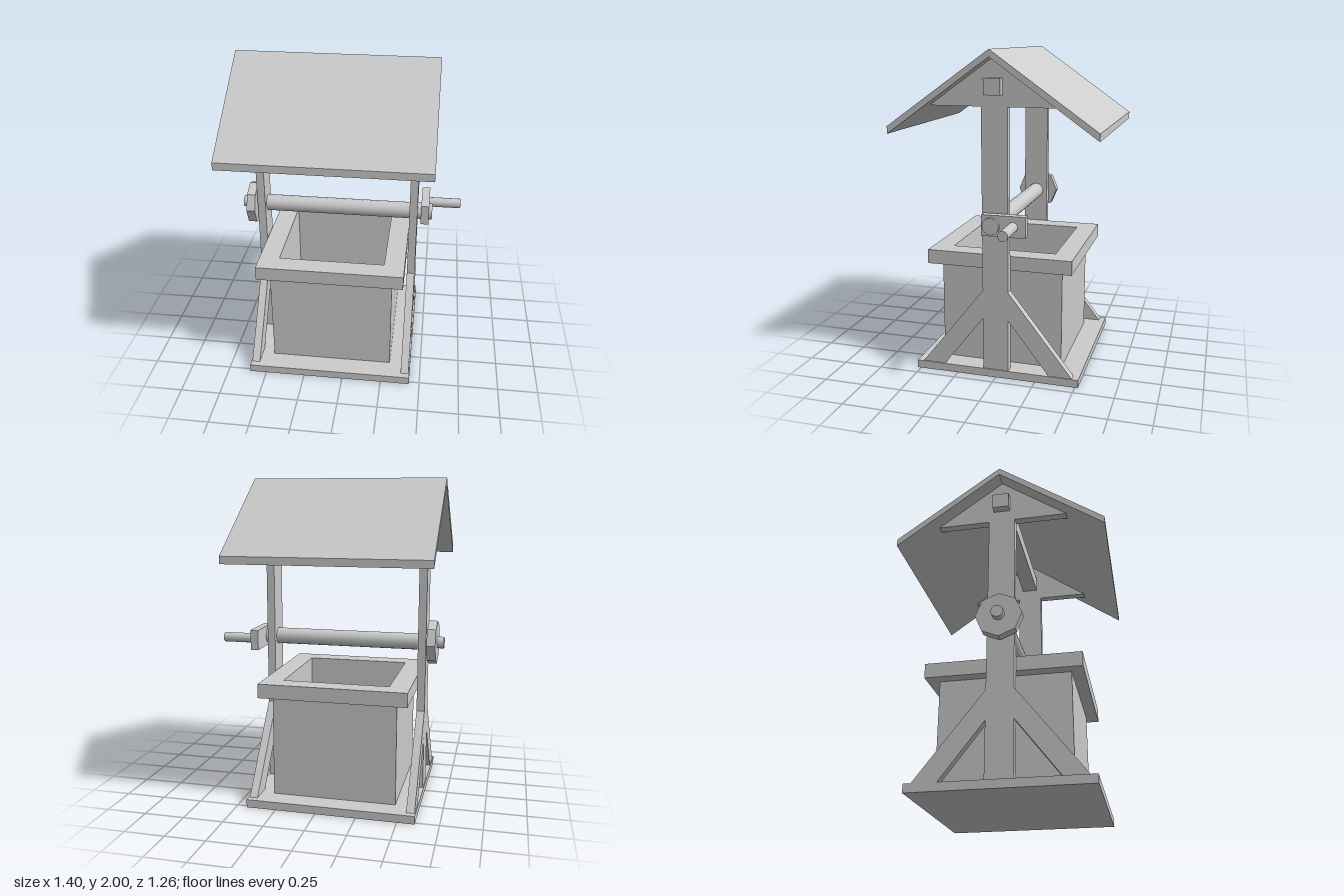
import * as THREE from 'three';

const material = new THREE.MeshStandardMaterial({ color: 0xcccccc });
const CX = -0.086; // middle of the well along x
const AXLE_Y = 0.99;

function add(parent, name, geometry, x = 0, y = 0, z = 0) {
  const mesh = new THREE.Mesh(geometry, material);
  mesh.name = name;
  mesh.position.set(x, y, z);
  parent.add(mesh);
  return mesh;
}

// Box given by its limits on each axis
function box(parent, name, [x0, x1], [y0, y1], [z0, z1]) {
  return add(parent, name, new THREE.BoxGeometry(x1 - x0, y1 - y0, z1 - z0),
    (x0 + x1) / 2, (y0 + y1) / 2, (z0 + z1) / 2);
}

// Cylinder lying along x
function rod(parent, name, x0, x1, radius, z = 0, sides = 12) {
  const geometry = new THREE.CylinderGeometry(radius, radius, x1 - x0, sides);
  geometry.rotateZ(Math.PI / 2);
  return add(parent, name, geometry, (x0 + x1) / 2, AXLE_Y, z);
}

// Half profile of [z, y] points, mirrored across z = 0 and extruded from x0 to x1
function mirroredProfile(parent, name, half, x0, x1) {
  const mirrored = half.filter(([z]) => z > 0).reverse().map(([z, y]) => [-z, y]);
  const shape = new THREE.Shape([...half, ...mirrored].map(([z, y]) => new THREE.Vector2(-z, y)));
  const geometry = new THREE.ExtrudeGeometry(shape, { depth: x1 - x0, bevelEnabled: false });
  geometry.rotateY(Math.PI / 2);
  return add(parent, name, geometry, x0, 0, 0);
}

// Upright square tube with an open middle
function squareTube(parent, name, outer, inner, y0, y1) {
  const square = (h, Type) => new Type([[-h, -h], [h, -h], [h, h], [-h, h]]
    .map(([x, y]) => new THREE.Vector2(x, y)));
  const shape = square(outer, THREE.Shape);
  shape.holes.push(square(inner, THREE.Path));
  const geometry = new THREE.ExtrudeGeometry(shape, { depth: y1 - y0, bevelEnabled: false });
  geometry.rotateX(-Math.PI / 2);
  return add(parent, name, geometry, CX, y0, 0);
}

export function createModel() {
  const model = new THREE.Group();
  model.name = 'well';

  // Base and square shaft
  box(model, 'base', [-0.606, 0.434], [0, 0.05], [-0.52, 0.52]);
  squareTube(model, 'shaftWalls', 0.385, 0.33, 0.05, 0.685);
  squareTube(model, 'rim', 0.457, 0.33, 0.685, 0.773);

  // Side frames: post, two braces and gable in one outline
  const frame = [
    [0.08, 0.05], [0.08, 0.38], [0.335, 0.05], [0.48, 0.05],
    [0.08, 0.56], [0.08, 1.675], [0.397, 1.675], [0, 1.957],
  ];
  mirroredProfile(model, 'rightFrame', frame, -0.6, -0.55);
  mirroredProfile(model, 'leftFrame', frame, 0.378, 0.428);

  // Roof and the beam below its ridge
  const roof = [[0, 1.957], [0.63, 1.51], [0.63, 1.555], [0, 2]];
  mirroredProfile(model, 'roof', roof, -0.694, 0.524);
  box(model, 'ridgeBeam', [-0.65, 0.478], [1.744, 1.84], [-0.05, 0.05]);

  // Winch: axle, eight-sided wheel and crank
  const winch = new THREE.Group();
  winch.name = 'winch';
  model.add(winch);
  rod(winch, 'axle', -0.62, 0.52, 0.052);
  rod(winch, 'axleEnd', -0.705, -0.62, 0.037);
  rod(winch, 'wheel', -0.662, -0.608, 0.137, 0, 8).material = flat;
  box(winch, 'crankArm', [0.45, 0.5], [0.927, 1.055], [-0.207, 0.062]);
  rod(winch, 'crankHandle', 0.49, 0.7, 0.031, -0.13);

  return model;
}

// Faceted version for the wheel
const flat = new THREE.MeshStandardMaterial({ color: 0xcccccc, flatShading: true });
